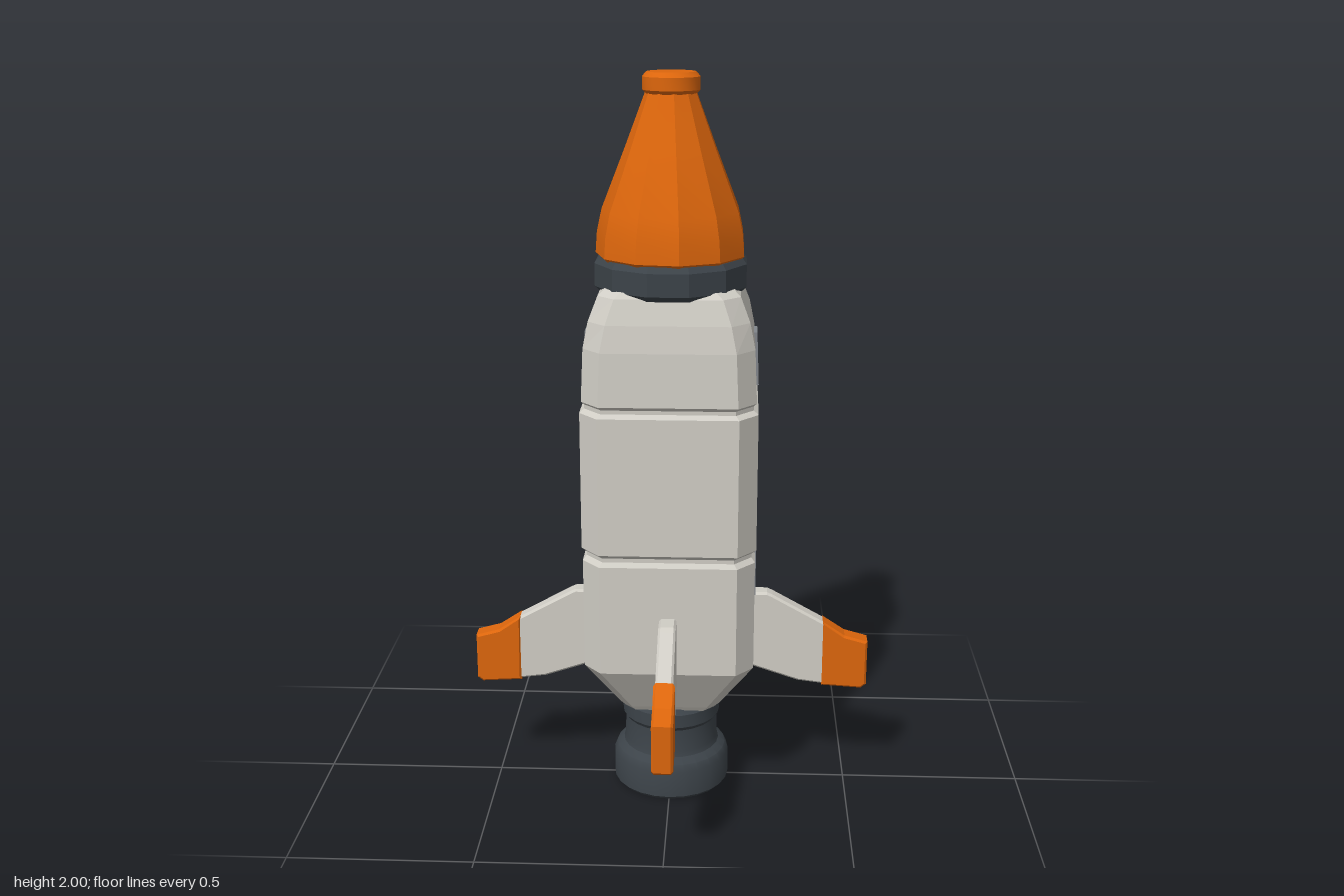
import * as THREE from 'three';
import { toCreasedNormals } from 'three/addons/utils/BufferGeometryUtils.js';

const paint = (name, color) => {
  const m = new THREE.MeshStandardMaterial({ color });
  m.name = name;
  return m;
};

// Lathe from [radius, y] points, with edges kept sharp above the crease angle
function turned(points, sides, crease, start = 0) {
  const g = new THREE.LatheGeometry(points.map(p => new THREE.Vector2(...p)), sides, start);
  return toCreasedNormals(g, crease);
}

// Closed, flat-faced loft through chamfered rectangles [y, halfX, halfZ, chamferX, chamferZ]
function chamferedLoft(sections) {
  const rings = sections.map(([y, x, z, cx, cz]) => [
    [x, z - cz], [x, cz - z], [x - cx, -z], [cx - x, -z],
    [-x, cz - z], [-x, z - cz], [cx - x, z], [x - cx, z],
  ].map(([px, pz]) => [px, y, pz]));
  const pos = [];
  const tri = (...corners) => corners.forEach(c => pos.push(...c));
  for (let r = 0; r < rings.length - 1; r++) {
    for (let i = 0; i < 8; i++) {
      const j = (i + 1) % 8, lo = rings[r], hi = rings[r + 1];
      tri(lo[i], lo[j], hi[j]);
      tri(lo[i], hi[j], hi[i]);
    }
  }
  const bottom = rings[0], top = rings[rings.length - 1];
  for (let i = 1; i < 7; i++) {
    tri(top[0], top[i], top[i + 1]);
    tri(bottom[0], bottom[i + 1], bottom[i]);
  }
  const g = new THREE.BufferGeometry();
  g.setAttribute('position', new THREE.Float32BufferAttribute(pos, 3));
  g.computeVertexNormals();
  return g;
}

// Flat plate from an outline in the xy plane, with slightly bevelled rims
function plate(outline, thickness) {
  const bevel = 0.006;
  const shape = new THREE.Shape(outline.map(p => new THREE.Vector2(...p)));
  const g = new THREE.ExtrudeGeometry(shape, {
    depth: thickness - 2 * bevel, bevelEnabled: true, bevelSegments: 1,
    bevelSize: bevel, bevelOffset: -bevel, bevelThickness: bevel,
  });
  return g.translate(0, 0, bevel - thickness / 2);
}

export function createModel() {
  const white = paint('hull white', 0xd0cdc5);
  const orange = paint('orange', 0xdd660c);
  const dark = paint('dark metal', 0x3c4349);
  const glass = paint('window grey', 0x82868b);

  const model = new THREE.Group();
  model.name = 'rocket';
  const add = (name, geometry, material, parent = model) => {
    const mesh = new THREE.Mesh(geometry, material);
    mesh.name = name;
    parent.add(mesh);
    return mesh;
  };

  // Hull: three stages with narrow grooves between them
  add('lowerStage', chamferedLoft([
    [0.26, 0.125, 0.12, 0.03, 0.03], [0.275, 0.14, 0.13, 0.035, 0.035],
    [0.415, 0.232, 0.215, 0.048, 0.055], [0.725, 0.232, 0.215, 0.048, 0.055],
    [0.737, 0.222, 0.205, 0.046, 0.053],
  ]), white);
  add('middleStage', chamferedLoft([
    [0.735, 0.222, 0.205, 0.046, 0.053], [0.748, 0.222, 0.205, 0.046, 0.053],
    [0.76, 0.235, 0.219, 0.05, 0.06], [1.138, 0.235, 0.219, 0.05, 0.06],
    [1.148, 0.222, 0.205, 0.046, 0.053], [1.16, 0.222, 0.205, 0.046, 0.053],
  ]), white);
  add('upperStage', chamferedLoft([
    [1.155, 0.218, 0.202, 0.046, 0.053], [1.168, 0.23, 0.214, 0.048, 0.055],
    [1.31, 0.224, 0.208, 0.048, 0.055], [1.38, 0.21, 0.197, 0.048, 0.05],
    [1.445, 0.185, 0.178, 0.045, 0.045], [1.46, 0.168, 0.163, 0.045, 0.045],
  ]), white);

  // Collar and faceted nose cone
  add('collar', turned([
    [0, 1.44], [0.19, 1.44], [0.206, 1.455], [0.206, 1.515], [0.195, 1.53], [0, 1.53],
  ], 12, 0.3, Math.PI / 12), dark);
  add('noseCone', turned([
    [0, 1.52], [0.185, 1.52], [0.2, 1.535], [0.196, 1.59], [0.183, 1.65],
    [0.12, 1.81], [0.067, 1.95], [0, 1.95],
  ], 11, 0.3, -Math.PI / 2), orange);
  add('noseTip', turned([
    [0, 1.945], [0.066, 1.945], [0.075, 1.955], [0.075, 1.988], [0.064, 2], [0, 2],
  ], 20, 0.5), orange);

  // Engine nozzle, hollow underneath
  add('engine', turned([
    [0, 0.11], [0.1, 0.11], [0.125, 0.01], [0.132, 0], [0.155, 0], [0.164, 0.01],
    [0.164, 0.085], [0.155, 0.105], [0.136, 0.12], [0.132, 0.135], [0.13, 0.2],
    [0.138, 0.212], [0.138, 0.25], [0.125, 0.265], [0, 0.265],
  ], 24, 0.5), dark);

  // Four fins with orange tips
  const blade = plate([
    [0.1, 0.4], [0.2, 0.365], [0.36, 0.312], [0.44, 0.302],
    [0.44, 0.487], [0.285, 0.573], [0.27, 0.58], [0.1, 0.58],
  ], 0.047);
  const tip = plate([
    [0.428, 0.3], [0.54, 0.293], [0.555, 0.305], [0.555, 0.436],
    [0.49, 0.454], [0.428, 0.495],
  ], 0.056);
  for (let i = 0; i < 4; i++) {
    const fin = new THREE.Group();
    fin.name = 'fin';
    fin.rotation.y = i * Math.PI / 2;
    add('finBlade', blade, white, fin);
    add('finTip', tip, orange, fin);
    model.add(fin);
  }

  // Round studs down the back
  const stud = turned([
    [0.072, 0], [0.07, 0.025], [0.063, 0.06], [0.054, 0.069], [0, 0.069],
  ], 20, 0.6);
  for (const [y, z] of [[1.285, -0.2], [1.045, -0.213], [0.86, -0.213], [0.64, -0.21]]) {
    const mesh = add('stud', stud, white);
    mesh.position.set(0, y, z);
    mesh.rotation.x = -Math.PI / 2;
  }

  // Small windows on both sides
  for (const side of [1, -1]) {
    for (const [y, x, height, tilt] of [[1.255, 0.2285, 0.145, 0.04], [0.642, 0.232, 0.135, 0]]) {
      const mesh = add('window', new THREE.BoxGeometry(0.009, height, 0.075), glass);
      mesh.position.set(side * x, y, -0.012);
      mesh.rotation.z = side * tilt;
    }
  }
  return model;
}
